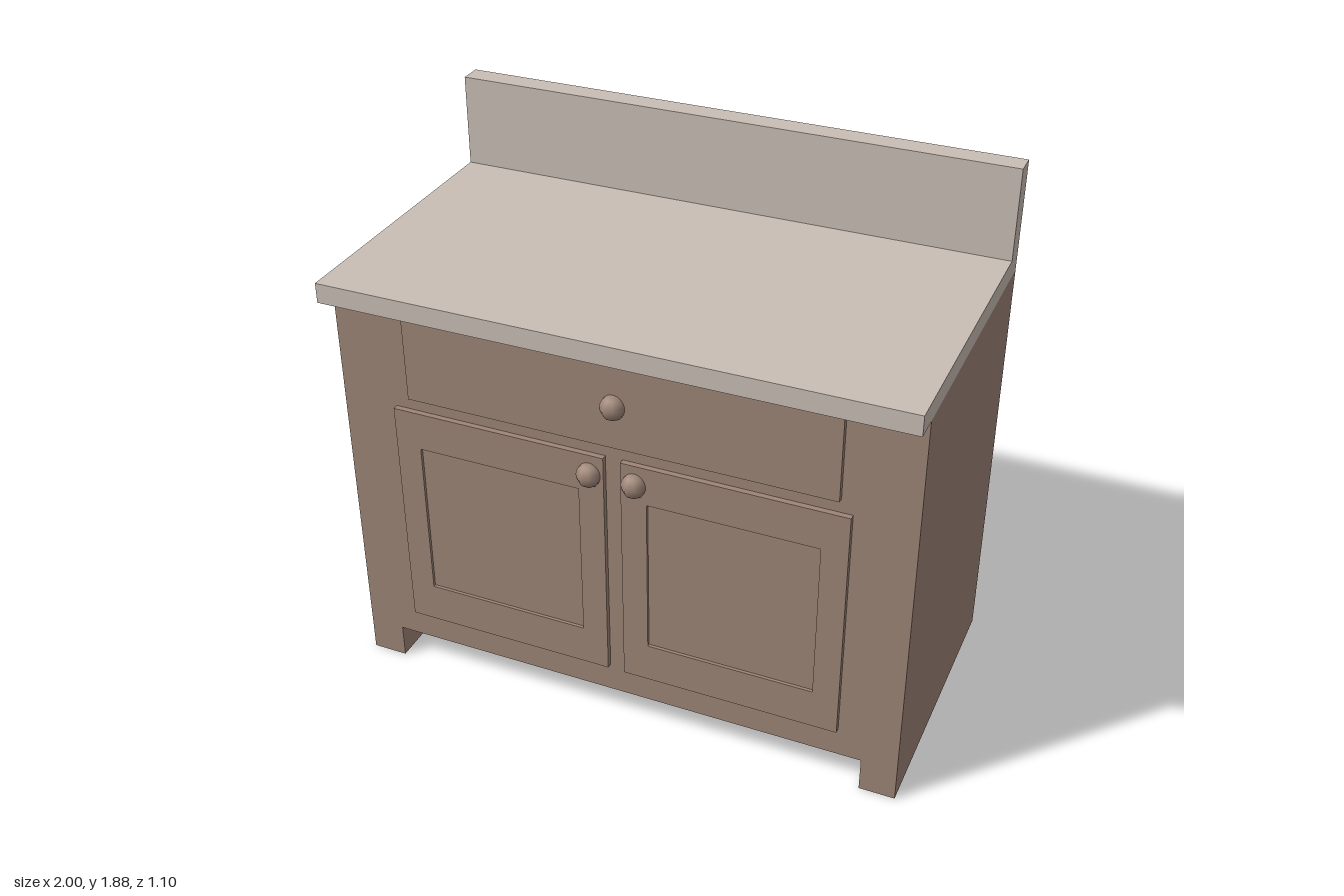
import * as THREE from 'three';

export function createModel() {
  const group = new THREE.Group();
  const wood = new THREE.MeshStandardMaterial({ color: 0x9e8577 });
  wood.name = 'wood';
  const stone = new THREE.MeshStandardMaterial({ color: 0xc9beb5 });
  stone.name = 'stone';

  const add = (name, geometry, material) => {
    const mesh = new THREE.Mesh(geometry, material);
    mesh.name = name;
    group.add(mesh);
    return mesh;
  };
  const outline = (points) => new THREE.Shape(points.map(([x, y]) => new THREE.Vector2(x, y)));
  const rect = (x0, x1, y0, y1) => outline([[x0, y0], [x1, y0], [x1, y1], [x0, y1]]);
  const extrude = (shape, z0, z1) =>
    new THREE.ExtrudeGeometry(shape, { depth: z1 - z0, bevelEnabled: false }).translate(0, 0, z0);

  const back = -0.55, face = 0.46, front = 0.48, bodyTop = 1.49;

  // Cabinet body with the opening between its two runners
  add('cabinet', extrude(outline([
    [-1, 0], [-0.875, 0], [-0.875, 0.125], [0.875, 0.125],
    [0.875, 0], [1, 0], [1, bodyTop], [-1, bodyTop],
  ]), back, face), wood);

  // Worktop and upright backsplash as one L-shaped profile swept along x
  const top = extrude(outline([
    [-0.55, bodyTop], [0.55, bodyTop], [0.55, 1.56],
    [-0.47, 1.56], [-0.47, 1.885], [-0.55, 1.885],
  ]), -1, 1);
  top.rotateY(-Math.PI / 2);
  add('countertop', top, stone);

  // Drawer front
  add('drawerFront', extrude(rect(-0.74, 0.75, 1.15, 1.445), face, front), wood);

  // Framed doors with recessed panels
  const doors = [
    ['right', -0.8, -0.035, -0.71, -0.125],
    ['left', 0.025, 0.79, 0.115, 0.7],
  ];
  for (const [side, x0, x1, p0, p1] of doors) {
    const frame = rect(x0, x1, 0.235, 1.1);
    frame.holes.push(rect(p0, p1, 0.38, 0.96));
    add(side + 'DoorFrame', extrude(frame, face, front), wood);
    add(side + 'DoorPanel', extrude(rect(p0, p1, 0.38, 0.96), face, 0.469), wood);
  }

  // Eight-sided round knobs
  const knob = new THREE.SphereGeometry(0.043, 8, 14);
  knob.rotateY(Math.PI / 8).scale(1, 1.02, 1);
  for (const [name, x, y] of [
    ['drawerKnob', 0.005, 1.303], ['rightDoorKnob', -0.085, 1.027], ['leftDoorKnob', 0.073, 1.027],
  ]) add(name, knob, wood).position.set(x, y, front);

  return group;
}
